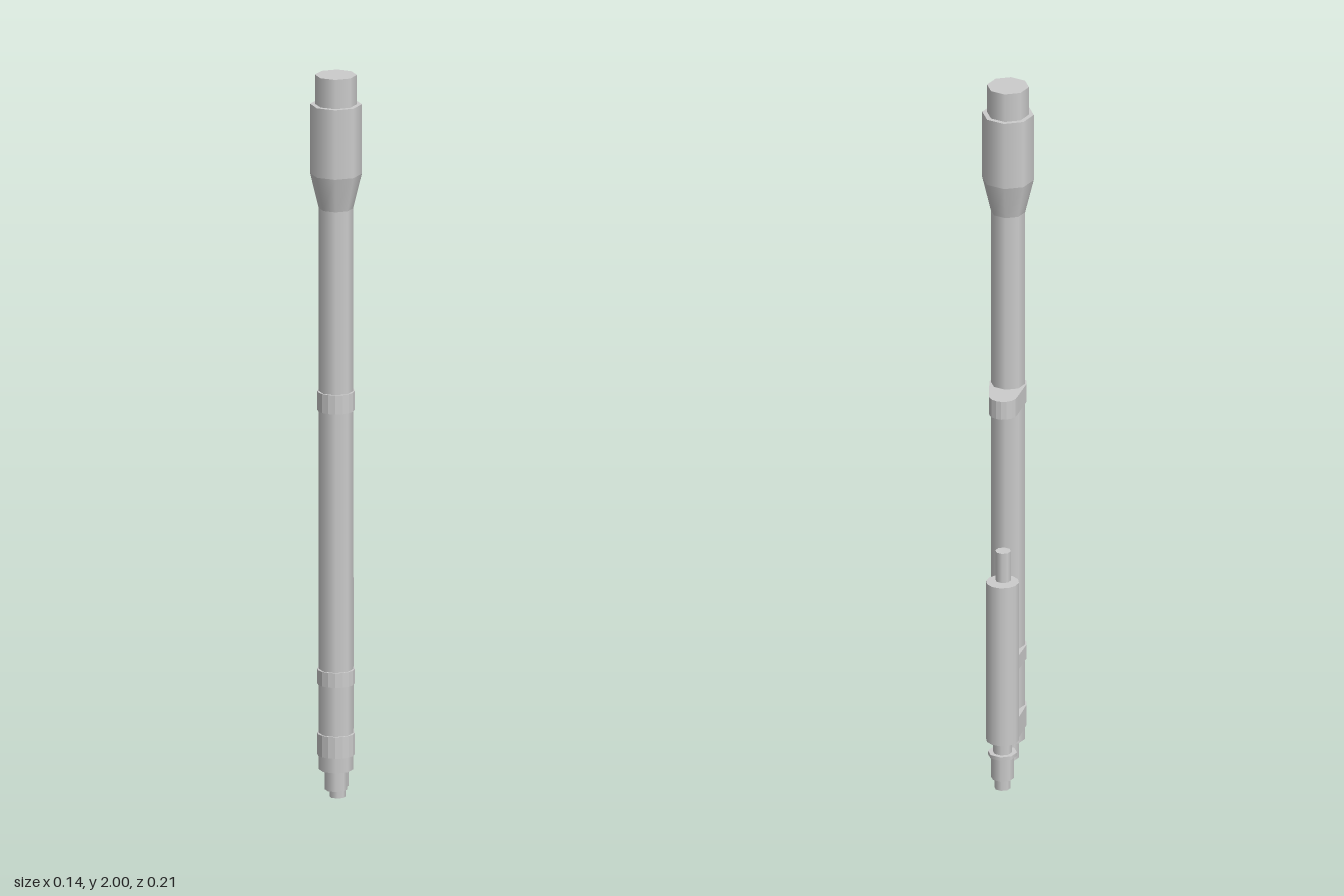
import * as THREE from 'three';

const MAIN_Z = 0.036, SIDE_Z = -0.063;

export function createModel() {
  const model = new THREE.Group();
  const material = new THREE.MeshStandardMaterial({ color: 0xcccccc });

  function add(name, geometry, y, z) {
    const mesh = new THREE.Mesh(geometry, material);
    mesh.name = name;
    mesh.position.set(0, y, z);
    model.add(mesh);
  }

  // upright cylinder or cone between two heights
  function tube(name, y0, y1, r0, r1, z, sides = 8) {
    add(name, new THREE.CylinderGeometry(r1, r0, y1 - y0, sides), (y0 + y1) / 2, z);
  }

  // plate wrapping the main tube and reaching back to a smaller rounded end
  function bracket(name, y0, y1, frontR, backR, backZ) {
    const shape = new THREE.Shape();
    const arc = (r, z, start) => {
      for (let i = 0; i <= 8; i++) {
        const a = start + (i / 8) * Math.PI;
        const x = r * Math.cos(a), y = -z + r * Math.sin(a);
        if (start !== 0 && i === 0) shape.moveTo(x, y);
        else shape.lineTo(x, y);
      }
    };
    arc(frontR, MAIN_Z, Math.PI);
    arc(backR, backZ, 0);
    shape.closePath();
    const geometry = new THREE.ExtrudeGeometry(shape, { depth: y1 - y0, bevelEnabled: false });
    geometry.rotateX(-Math.PI / 2);
    add(name, geometry, y0, 0);
  }

  // main tube with its flared head
  tube('lowerPlug', 0.045, 0.1, 0.03, 0.03, MAIN_Z);
  tube('mainTube', 0.1, 1.635, 0.046, 0.046, MAIN_Z);
  tube('headTaper', 1.635, 1.73, 0.046, 0.069, MAIN_Z);
  tube('head', 1.73, 1.92, 0.069, 0.069, MAIN_Z);
  tube('headCap', 1.92, 2, 0.056, 0.056, MAIN_Z);

  // side cylinder with rod and stepped lower fitting
  tube('sideRod', 0.6, 0.685, 0.021, 0.021, -0.052);
  tube('sideCylinder', 0.14, 0.6, 0.044, 0.044, SIDE_Z, 12);
  tube('fittingNeck', 0.105, 0.14, 0.026, 0.026, SIDE_Z);
  tube('fittingFlange', 0.095, 0.105, 0.039, 0.039, SIDE_Z);
  tube('fittingBody', 0.03, 0.095, 0.031, 0.031, SIDE_Z);
  tube('fittingTip', 0, 0.03, 0.022, 0.022, SIDE_Z);

  // brackets
  bracket('upperBracket', 1.083, 1.135, 0.05, 0.038, -0.05);
  bracket('middleBracket', 0.335, 0.375, 0.05, 0.036, -0.06);
  bracket('lowerBracket', 0.141, 0.2, 0.05, 0.04, -0.06);

  return model;
}
